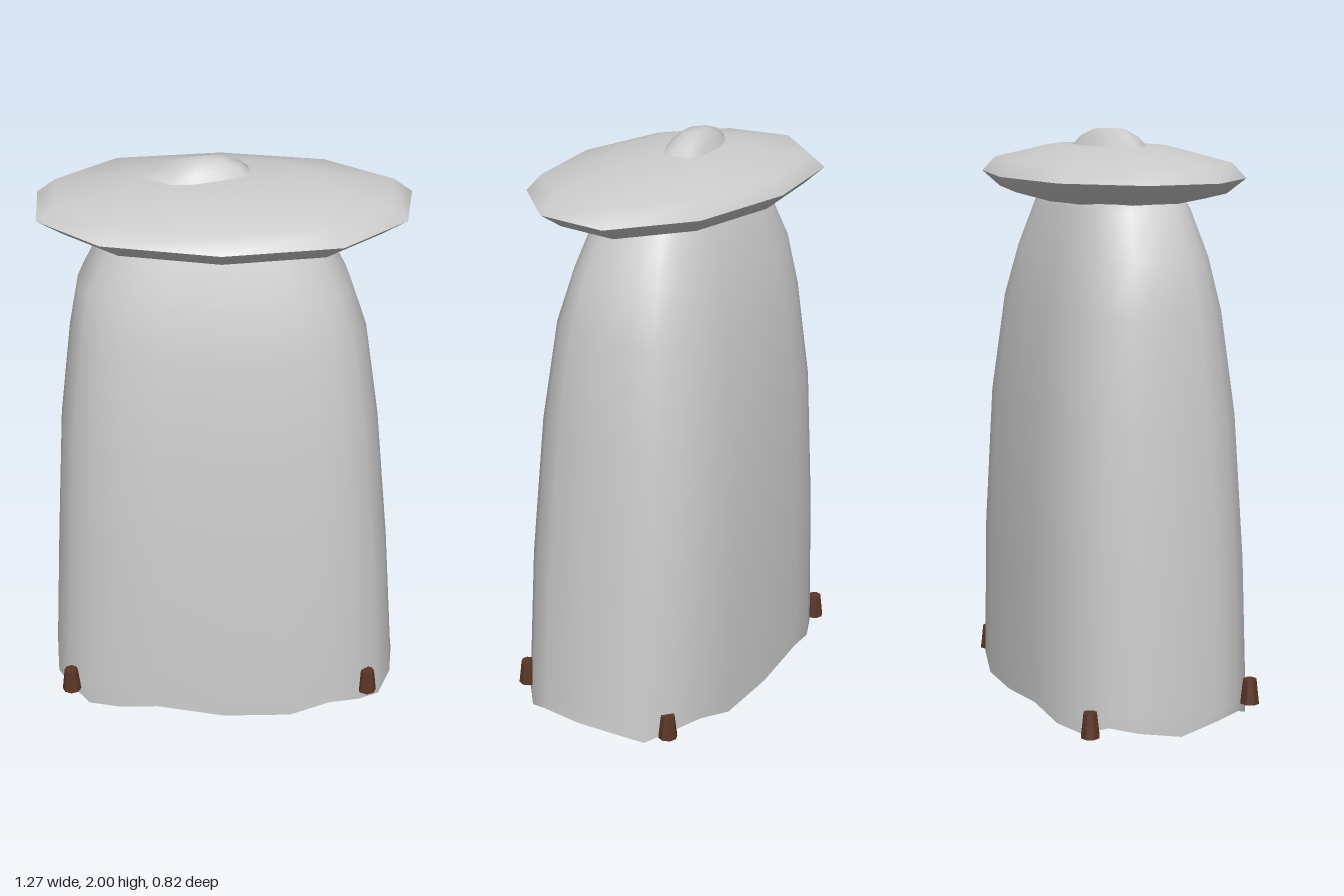
import * as THREE from 'three';

const grey = new THREE.MeshStandardMaterial({ color: 0xcccccc, side: THREE.DoubleSide });
const brown = new THREE.MeshStandardMaterial({ color: 0x5a3626, flatShading: true });

// Skin a list of rings (bottom to top), optionally closed by a point above the last ring.
// Ring points run from +x towards +z.
function loft(name, rings, tip) {
  const n = rings[0].length;
  const positions = rings.flat(2);
  const index = [];
  for (let r = 0; r < rings.length - 1; r++) {
    for (let i = 0; i < n; i++) {
      const j = (i + 1) % n;
      const a = r * n + i, b = r * n + j, c = a + n, d = b + n;
      index.push(a, c, b, b, c, d);
    }
  }
  if (tip) {
    const last = (rings.length - 1) * n;
    positions.push(...tip);
    for (let i = 0; i < n; i++) index.push(last + i, rings.length * n, last + (i + 1) % n);
  }
  const geometry = new THREE.BufferGeometry();
  geometry.setAttribute('position', new THREE.Float32BufferAttribute(positions, 3));
  geometry.setIndex(index);
  geometry.computeVertexNormals();
  const mesh = new THREE.Mesh(geometry, grey);
  mesh.name = name;
  return mesh;
}

// Rounded-rectangle ring between the given extents
function bodyRing([y, x0, x1, z0, z1], wave = 0) {
  const n = 24, power = 2 / 2.8;
  return Array.from({ length: n }, (_, i) => {
    const t = (i / n) * Math.PI * 2, c = Math.cos(t), s = Math.sin(t);
    const u = Math.sign(c) * Math.abs(c) ** power, v = Math.sign(s) * Math.abs(s) ** power;
    const lift = wave * (0.5 + 0.5 * Math.sin(i * 1.9 + 0.6));
    return [(x0 + x1) / 2 + u * (x1 - x0) / 2, y + lift, (z0 + z1) / 2 + v * (z1 - z0) / 2];
  });
}

// Irregular ten-sided outline of the lid
const rim = [
  [0.635, -0.14], [0.6, 0.12], [0.38, 0.34], [-0.01, 0.41], [-0.4, 0.33],
  [-0.62, 0.13], [-0.64, -0.13], [-0.42, -0.35], [-0.02, -0.41], [0.38, -0.34],
];
const lidRing = (scale, y) => rim.map(([x, z]) => [x * scale, y, z * scale]);

export function createModel() {
  const model = new THREE.Group();

  // Tall draped body, tapering towards the lid, with an uneven hem
  const levels = [
    [0.0, -0.635, 0.63, -0.39, 0.39],
    [0.08, -0.635, 0.625, -0.39, 0.39],
    [0.55, -0.61, 0.59, -0.388, 0.38],
    [1.05, -0.58, 0.54, -0.367, 0.347],
    [1.4, -0.537, 0.487, -0.322, 0.298],
    [1.58, -0.503, 0.425, -0.28, 0.25],
    [1.74, -0.42, 0.34, -0.23, 0.2],
    [1.8, -0.37, 0.29, -0.2, 0.17],
  ];
  const hem = bodyRing(levels[0], 0.045);
  model.add(loft('body', [hem, ...levels.slice(1).map((l) => bodyRing(l))], [-0.04, 1.83, -0.01]));

  // Floor closing the bottom
  model.add(loft('floor', [hem], [0, 0.03, 0]));

  // Lid: shallow underside and domed top meeting at a sharp rim
  const lid = new THREE.Group();
  lid.name = 'lid';
  lid.add(
    loft('lidUnderside', [lidRing(0.48, 1.742), lidRing(0.86, 1.785), lidRing(1, 1.838)]),
    loft('lidTop', [lidRing(1, 1.838), lidRing(0.9, 1.888), lidRing(0.48, 1.936)], [0, 1.947, 0]),
  );

  // Long knob, pointed at one end
  const knobOutline = [
    [0.09, -0.05], [0.08, 0], [0, 0.04], [-0.1, 0.068], [-0.18, 0.065],
    [-0.29, -0.02], [-0.2, -0.08], [-0.12, -0.11], [0, -0.122], [0.08, -0.11],
  ];
  const knobRing = (scale, y) =>
    knobOutline.map(([x, z]) => [-0.08 + (x + 0.08) * scale, y, -0.035 + (z + 0.035) * scale]);
  lid.add(loft('knob', [knobRing(1, 1.937), knobRing(0.75, 1.972), knobRing(0.4, 1.996)], [-0.08, 2, -0.04]));
  model.add(lid);

  // Four tapered pegs around the hem
  const pegs = [[-0.56, 0.1, 0.29], [0.52, 0.1, 0.29], [-0.55, 0.055, -0.295], [0.505, 0.055, -0.295]];
  for (const [x, y, z] of pegs) {
    const peg = new THREE.Mesh(new THREE.CylinderGeometry(0.024, 0.034, 0.085, 8), brown);
    peg.name = 'peg';
    peg.position.set(x, y, z);
    model.add(peg);
  }
  return model;
}
